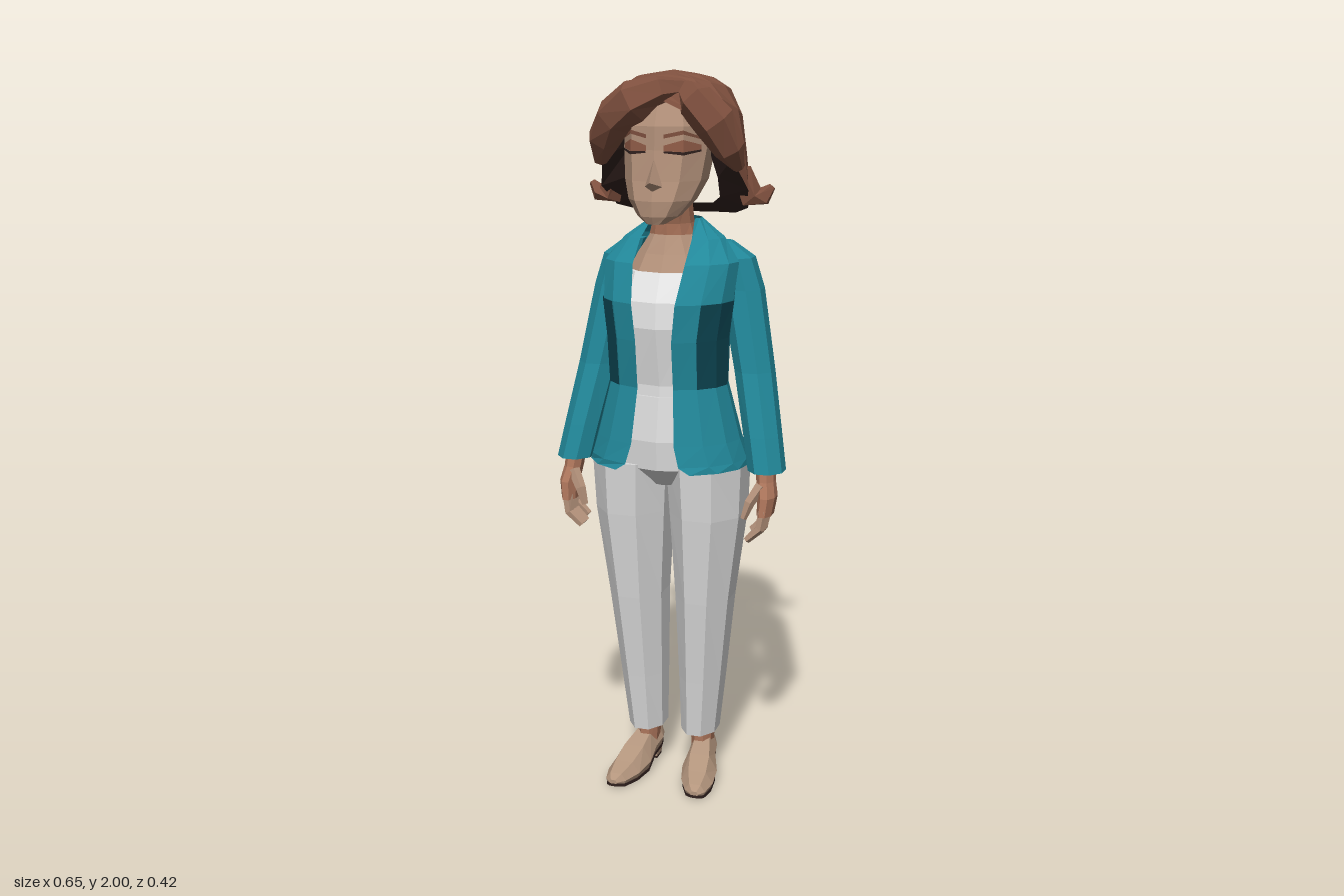
import * as THREE from 'three';

const mat = (name, color, side = THREE.FrontSide) => {
  const m = new THREE.MeshStandardMaterial({ color, side, flatShading: true });
  m.name = name;
  return m;
};

// Faceted surface through a list of equal-length rings of [x, y, z]
function loft(rings, { closed = true, caps = true } = {}) {
  const tris = [], n = rings[0].length;
  const tri = (a, b, c) => tris.push([a, b, c]);
  for (let i = 0; i < rings.length - 1; i++) {
    for (let j = 0; j < (closed ? n : n - 1); j++) {
      const k = (j + 1) % n, p = rings[i], q = rings[i + 1];
      tri(p[j], p[k], q[k]);
      tri(p[j], q[k], q[j]);
    }
  }
  if (caps) {
    [rings[0], rings[rings.length - 1]].forEach((r, end) => {
      const c = [0, 1, 2].map(d => r.reduce((s, p) => s + p[d], 0) / n);
      for (let j = 0; j < n; j++) {
        const k = (j + 1) % n;
        if (end) tri(c, r[j], r[k]); else tri(c, r[k], r[j]);
      }
    });
  }
  // Turn the faces outward when the rings ran the other way
  let volume = 0;
  for (const [a, b, c] of tris) {
    volume += a[0] * (b[1] * c[2] - b[2] * c[1]) + a[1] * (b[2] * c[0] - b[0] * c[2]) + a[2] * (b[0] * c[1] - b[1] * c[0]);
  }
  const pos = tris.flatMap(([a, b, c]) => (volume < 0 ? [a, c, b] : [a, b, c])).flat();
  const g = new THREE.BufferGeometry();
  g.setAttribute('position', new THREE.Float32BufferAttribute(pos, 3));
  g.computeVertexNormals();
  return g;
}

// Level ring: centre, radii, number of sides
const oval = (x, y, z, rx, rz, n, turn = 0) => Array.from({ length: n }, (_, j) => {
  const a = (j + turn) / n * Math.PI * 2;
  return [x + rx * Math.sin(a), y, z + rz * Math.cos(a)];
});

// Body rows: [y, half width, front z, back z]
const body = (rows, n = 10) => loft(rows.map(([y, w, f, b]) => oval(0, y, (f + b) / 2, w, (f - b) / 2, n)));
// Limb rows: [x, y, z, rx, rz], mirrored by s
const limb = (rows, s, n = 8) => loft(rows.map(([x, y, z, rx, rz]) => oval(s * x, y, z, rx, rz, n, 0.5)));

// Tapered strand along a path of [x, y, z, radius]
function strand(pts, n = 6) {
  const v = pts.map(p => new THREE.Vector3(p[0], p[1], p[2]));
  return loft(pts.map((p, i) => {
    const t = v[Math.min(i + 1, v.length - 1)].clone().sub(v[Math.max(i - 1, 0)]).normalize();
    const u = new THREE.Vector3(0.1, 0.2, 1).cross(t).normalize();
    const w = t.clone().cross(u);
    return Array.from({ length: n }, (_, j) => {
      const a = j / n * Math.PI * 2;
      return v[i].clone().addScaledVector(u, p[3] * Math.cos(a)).addScaledVector(w, p[3] * Math.sin(a)).toArray();
    });
  }));
}

// Linear lookup in [key, value] pairs sorted by falling key
function lookup(table, key) {
  for (let i = 1; i < table.length; i++) {
    const [k0, v0] = table[i - 1], [k1, v1] = table[i];
    if (key >= k1) return v0 + (v1 - v0) * (key - k0) / (k1 - k0);
  }
  return table[table.length - 1][1];
}

export function createModel() {
  const root = new THREE.Group();
  const hair = mat('brown hair', 0x80513f), face = mat('face skin', 0xb3917a), skin = mat('warm skin', 0xab745a);
  const teal = mat('teal jacket', 0x22899b, THREE.DoubleSide), darkTeal = mat('dark teal', 0x0d4653, THREE.DoubleSide);
  const white = mat('white top', 0xe6e6e6), grey = mat('light grey trousers', 0xdadada);
  const shoe = mat('tan shoe', 0xb3957d), dark = mat('dark brown', 0x32221f, THREE.DoubleSide);
  const lid = mat('eyelid', 0x945e49, THREE.DoubleSide);
  const add = (name, geometry, material, parent = root) => {
    const m = new THREE.Mesh(geometry, material);
    m.name = name;
    parent.add(m);
    return m;
  };

  // Head and face
  add('head', body([
    [1.61, 0.025, 0.18, 0.13], [1.63, 0.058, 0.19, 0.06], [1.67, 0.09, 0.192, 0], [1.72, 0.11, 0.18, -0.06],
    [1.8, 0.12, 0.168, -0.1], [1.86, 0.12, 0.165, -0.1], [1.93, 0.095, 0.135, -0.08]]), face);
  const noseBase = [[-0.028, 1.705, 0.168], [0, 1.69, 0.18], [0.028, 1.705, 0.168], [0, 1.79, 0.163]];
  add('nose', loft([noseBase, noseBase.map(() => [0, 1.72, 0.211])]), face);
  const plate = (s, low, high, out) => loft([low, high].map(ys =>
    [[0.022, 0.16], [0.07, 0.142], [0.103, 0.092]].map(([x, z], i) => [s * (x + out * 0.5), ys[i], z + out])),
  { closed: false, caps: false });
  for (const s of [1, -1]) {
    add('eyelid', plate(s, [1.798, 1.795, 1.8], [1.812, 1.826, 1.812], 0.004), lid);
    add('lashLine', plate(s, [1.793, 1.787, 1.795], [1.798, 1.795, 1.8], 0.006), dark);
    add('eyebrow', plate(s, [1.83, 1.84, 1.826], [1.84, 1.85, 1.832], 0.004), hair);
  }

  // Hair shell: 16 columns, each with its own lower edge
  const hem = [1.93, 1.9, 1.84, 1.775, 1.69, 1.635, 1.615, 1.612, 1.61];
  const bulge = [[2, 0.0], [1.985, 0.5], [1.95, 0.78], [1.88, 0.94], [1.75, 1.02], [1.66, 1.06], [1.61, 0.99]];
  const hairRing = (yAt, scale = 1) => Array.from({ length: 16 }, (_, j) => {
    const a = j / 16 * Math.PI * 2, low = hem[Math.min(j, 16 - j)], y = yAt(low);
    const r = lookup(bulge, y) * scale * (1 + 0.02 * Math.sin(j * 5.3));
    return [0.195 * r * Math.sin(a), y, (Math.cos(a) > 0 ? 0.17 : 0.178) * r * Math.cos(a)];
  });
  const rings = [0.02, 0.05, 0.13, 0.32, 0.6, 0.86, 1].map(t => hairRing(low => 1.998 - (1.998 - low) * t));
  add('hairShell', loft(rings, { caps: false }), hair);
  const crown = rings[0];
  add('hairCrown', loft([crown, crown.map(() => [0, 2, 0])], { caps: false }), hair);
  add('hairUnderside', loft([rings[6], hairRing(low => low + 0.03, 0.6)], { caps: false }), dark);
  add('fringeSweepRight', strand([[0.055, 1.955, 0.08, 0.025], [0, 1.95, 0.125, 0.04], [-0.065, 1.922, 0.138, 0.058],
    [-0.125, 1.88, 0.118, 0.055], [-0.168, 1.82, 0.085, 0.045], [-0.188, 1.76, 0.06, 0.018]]), hair);
  add('fringeSweepLeft', strand([[0.055, 1.955, 0.08, 0.025], [0.095, 1.925, 0.118, 0.05], [0.145, 1.87, 0.11, 0.055],
    [0.178, 1.8, 0.08, 0.042], [0.195, 1.75, 0.05, 0.016]]), hair);
  for (const s of [1, -1]) {
    add('sideFlick', strand([[s * 0.175, 1.74, -0.04, 0.028], [s * 0.2, 1.665, -0.055, 0.036],
      [s * 0.235, 1.668, -0.06, 0.026], [s * 0.257, 1.695, -0.065, 0.01]], 5), hair);
    add('backFlick', strand([[s * 0.11, 1.665, -0.135, 0.025], [s * 0.128, 1.642, -0.165, 0.028],
      [s * 0.138, 1.662, -0.19, 0.022], [s * 0.142, 1.7, -0.205, 0.01]], 5), hair);
  }

  // Neck, upper chest and top
  add('upperChest', body([[1.46, 0.125, 0.122, -0.08], [1.52, 0.095, 0.09, -0.072], [1.57, 0.062, 0.068, -0.06]]), face);
  add('neck', body([[1.55, 0.07, 0.062, -0.062], [1.6, 0.057, 0.064, -0.055], [1.67, 0.054, 0.09, -0.05]]), skin);
  add('top', body([[1.1, 0.135, 0.13, -0.07], [1.17, 0.135, 0.13, -0.07], [1.33, 0.145, 0.165, -0.08], [1.4, 0.145, 0.16, -0.085],
    [1.475, 0.13, 0.122, -0.082]]), white);

  // Jacket rows: [y, half width, front z, back z, half opening]
  const jacketRows = [[0.945, 0.225, 0.215, -0.145, 0.105], [0.965, 0.222, 0.21, -0.14, 0.075], [1.02, 0.205, 0.2, -0.122, 0.06],
    [1.17, 0.166, 0.172, -0.09, 0.05], [1.3, 0.17, 0.19, -0.1, 0.05], [1.4, 0.182, 0.194, -0.112, 0.06],
    [1.5, 0.188, 0.145, -0.117, 0.072], [1.56, 0.14, 0.085, -0.11, 0.072], [1.61, 0.07, 0.03, -0.085, 0.06]];
  const jacket = jacketRows.map(([y, w, f, b, open]) => {
    const a0 = Math.asin(open / w), n = 14;
    return Array.from({ length: n + 1 }, (_, j) => {
      const a = a0 + (Math.PI * 2 - 2 * a0) * j / n;
      return [w * Math.sin(a), y, (f + b) / 2 + (f - b) / 2 * Math.cos(a)];
    });
  });
  const sheet = { closed: false, caps: false };
  add('jacketBody', loft(jacket, sheet), teal);
  // Dark panels under the arms
  for (const from of [1, 11]) {
    add('underarmPanel', loft(jacket.slice(3, 6).map(r =>
      r.slice(from, from + 3).map(([x, y, z]) => [x * 1.015, y, z * 1.015])), sheet), darkTeal);
  }

  // Trousers seat
  add('trouserSeat', body([[0.885, 0.09, 0.1, -0.08], [0.94, 0.19, 0.156, -0.113],
    [1.02, 0.182, 0.16, -0.1], [1.14, 0.14, 0.138, -0.075]]), grey);

  for (const s of [1, -1]) {
    const side = s > 0 ? 'left' : 'right';
    // Arm
    const arm = new THREE.Group();
    arm.name = side + 'Arm';
    root.add(arm);
    add('sleeve', limb([[0.125, 1.548, -0.045, 0.03, 0.035], [0.16, 1.505, -0.05, 0.055, 0.062], [0.182, 1.42, -0.05, 0.06, 0.065],
      [0.226, 1.2, -0.022, 0.056, 0.062], [0.26, 1.03, 0.015, 0.053, 0.063], [0.278, 0.935, 0.035, 0.052, 0.062]], s), teal, arm);
    add('palm', limb([[0.275, 0.96, 0.04, 0.028, 0.032], [0.28, 0.91, 0.05, 0.026, 0.036],
      [0.288, 0.87, 0.062, 0.026, 0.047], [0.284, 0.82, 0.07, 0.022, 0.046]], s), skin, arm);
    for (let i = 0; i < 4; i++) {
      const z = 0.04 + i * 0.019, drop = i === 0 ? 0.015 : 0;
      add('finger', strand([[s * 0.284, 0.835, z, 0.015], [s * 0.277, 0.785 + drop, z + 0.004, 0.014],
        [s * 0.24, 0.75 + drop, z + 0.004, 0.01]], 5), face, arm);
    }
    add('thumb', strand([[s * 0.272, 0.9, 0.075, 0.018], [s * 0.245, 0.855, 0.094, 0.015], [s * 0.23, 0.81, 0.1, 0.009]], 5), face, arm);

    // Leg
    const leg = new THREE.Group();
    leg.name = side + 'Leg';
    root.add(leg);
    add('trouserLeg', limb([[0.107, 0.95, 0.02, 0.116, 0.14], [0.108, 0.8, 0.015, 0.108, 0.134], [0.098, 0.55, 0.01, 0.083, 0.11],
      [0.087, 0.3, -0.003, 0.066, 0.09], [0.079, 0.13, -0.009, 0.054, 0.076]], s), grey, leg);
    add('ankle', limb([[0.083, 0.06, -0.02, 0.032, 0.045], [0.082, 0.16, -0.02, 0.034, 0.042]], s), skin, leg);

    // Shoe rows along z: [z, x, half width, bottom, top]
    const shoeRows = [[-0.078, 0.08, 0.026, 0.035, 0.1], [-0.04, 0.083, 0.038, 0.035, 0.105], [0.01, 0.09, 0.04, 0.026, 0.1],
      [0.07, 0.1, 0.052, 0.004, 0.078], [0.13, 0.11, 0.047, 0, 0.054], [0.178, 0.118, 0.03, 0, 0.038], [0.195, 0.121, 0.012, 0.005, 0.024]];
    add('shoe', loft(shoeRows.map(([z, x, w, b, t]) => [[-0.85, 0], [0.85, 0], [1, 0.35], [0.55, 1], [-0.55, 1], [-1, 0.35]]
      .map(([u, v]) => [s * (x + u * w), b + 0.008 + (t - b - 0.008) * v, z]))), shoe, leg);
    add('sole', loft(shoeRows.map(([z, x, w, b]) => [[-1, 0], [1, 0], [1, 0.009], [-1, 0.009]]
      .map(([u, v]) => [s * (x + u * w * 0.9), b + v, z]))), dark, leg);
    add('heel', limb([[0.08, 0.006, -0.047, 0.028, 0.031], [0.081, 0.045, -0.045, 0.034, 0.036]], s, 4), shoe, leg);
    add('heelTip', limb([[0.08, 0, -0.047, 0.028, 0.031], [0.08, 0.006, -0.047, 0.028, 0.031]], s, 4), dark, leg);
  }
  return root;
}
